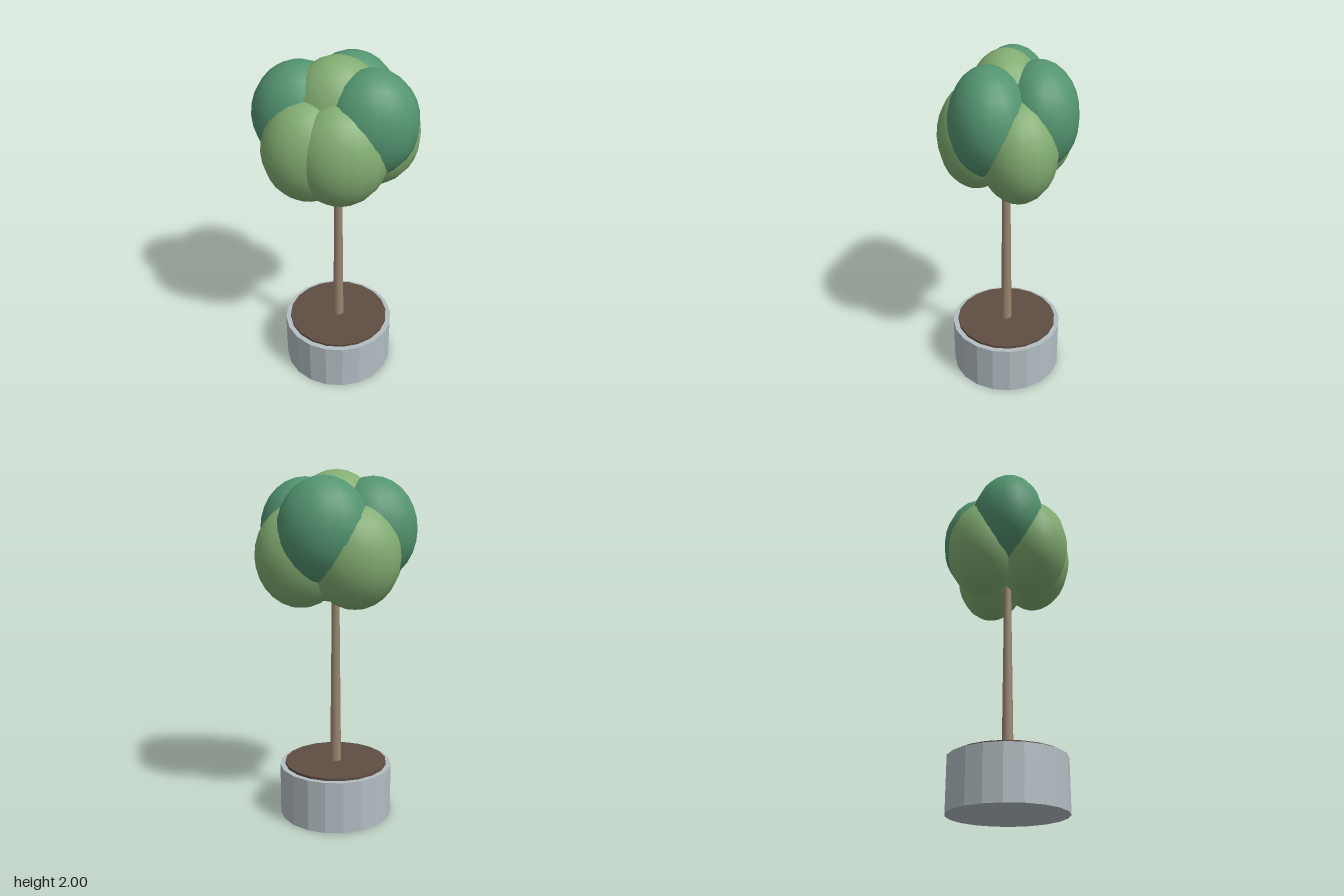
import * as THREE from 'three';

const paint = (color, flatShading = false) => {
  const m = new THREE.MeshStandardMaterial({ color });
  m.flatShading = flatShading;
  return m;
};

function part(name, geometry, material, x, y, z) {
  const mesh = new THREE.Mesh(geometry, material);
  mesh.name = name;
  mesh.position.set(x, y, z);
  return mesh;
}

export function createModel() {
  const tree = new THREE.Group();
  tree.name = 'pottedTree';

  // Faceted planter with a slightly raised disc of soil
  tree.add(part('planter', new THREE.CylinderGeometry(0.33, 0.33, 0.3, 20), paint(0xb2bdc2, true), 0, 0.15, 0));
  tree.add(part('soil', new THREE.CylinderGeometry(0.3, 0.3, 0.03, 20), paint(0x5f4d42, true), 0, 0.3, 0));

  // Slim trunk, tapering up into the crown
  tree.add(part('trunk', new THREE.CylinderGeometry(0.02, 0.033, 1.2, 10), paint(0x9a8570), 0, 0.9, 0));

  // Crown: overlapping ellipsoids in two layers that mirror each other
  const crown = new THREE.Group();
  crown.name = 'crown';
  const light = paint(0x82ad72);
  const dark = paint(0x539470);
  const leaf = new THREE.SphereGeometry(1, 16, 14);
  const addClump = (name, material, x, y, z, ry = 0.29) => {
    const clump = part(name, leaf, material, x, y, z);
    clump.scale.set(0.255, ry, 0.212);
    crown.add(clump);
  };
  const ring = [[-0.2, -0.05], [0.16, 0.1], [0.085, -0.165]];
  ring.forEach(([x, z], i) => {
    addClump(`upperClump${i + 1}`, dark, x, 1.673, z);
    addClump(`lowerClump${i + 1}`, light, -x, 1.533, z);
  });
  addClump('frontClump', light, 0, 1.533, 0.163);
  addClump('topClump', light, -0.005, 1.7, 0, 0.3);
  tree.add(crown);

  return tree;
}
